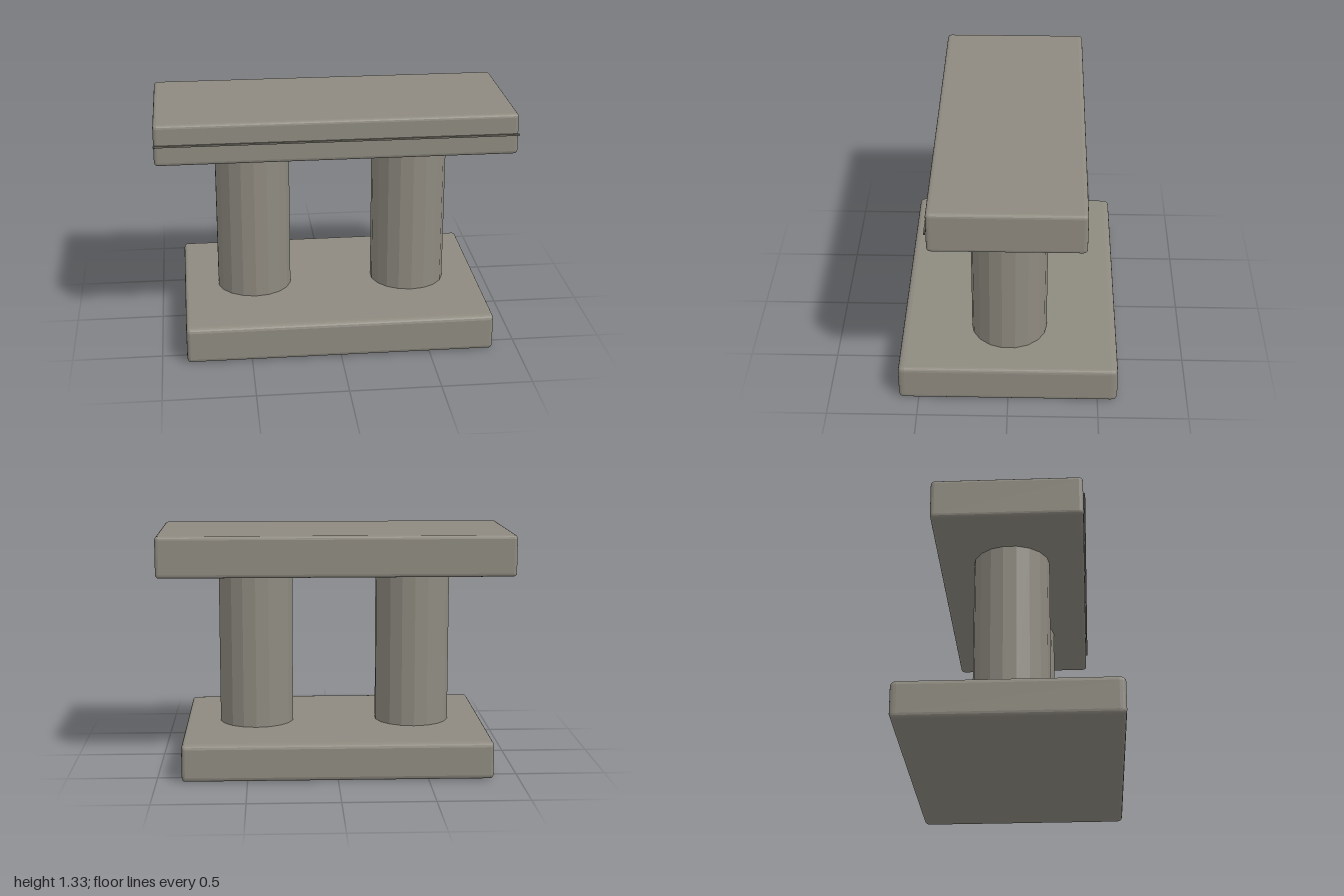
import * as THREE from 'three';
import { RoundedBoxGeometry } from 'three/addons/geometries/RoundedBoxGeometry.js';

export function createModel() {
  const group = new THREE.Group();
  const stone = new THREE.MeshStandardMaterial({ color: 0x8e8a80, flatShading: true });
  stone.name = 'stone';
  const joint = new THREE.MeshStandardMaterial({ color: 0x6a665e });
  joint.name = 'dark joint';

  const add = (name, geometry, material, x, y, z) => {
    const mesh = new THREE.Mesh(geometry, material);
    mesh.name = name;
    mesh.position.set(x, y, z);
    group.add(mesh);
  };

  // Slab whose bevel can differ along each axis
  const slab = (w, h, d, bx, by, bz) =>
    new RoundedBoxGeometry(w / bx, h / by, d / bz, 2, 1).scale(bx, by, bz);

  // Wide base and the longer, narrower top
  add('base', slab(1.724, 0.21, 1.22, 0.02, 0.025, 0.035), stone, 0, 0.105, 0);
  add('topSlab', slab(1.996, 0.232, 0.824, 0.02, 0.02, 0.022), stone, 0, 1.216, 0);

  // Pair of faceted columns, set slightly into both slabs
  for (const side of [-1, 1]) {
    add(side > 0 ? 'leftColumn' : 'rightColumn',
      new THREE.CylinderGeometry(0.214, 0.214, 0.93, 18), stone, side * 0.453, 0.655, 0);
  }

  // Thin strip just proud of the front of the top
  add('frontStrip', new THREE.BoxGeometry(2, 0.01, 0.009), joint, 0, 1.216, 0.4175);

  return group;
}
